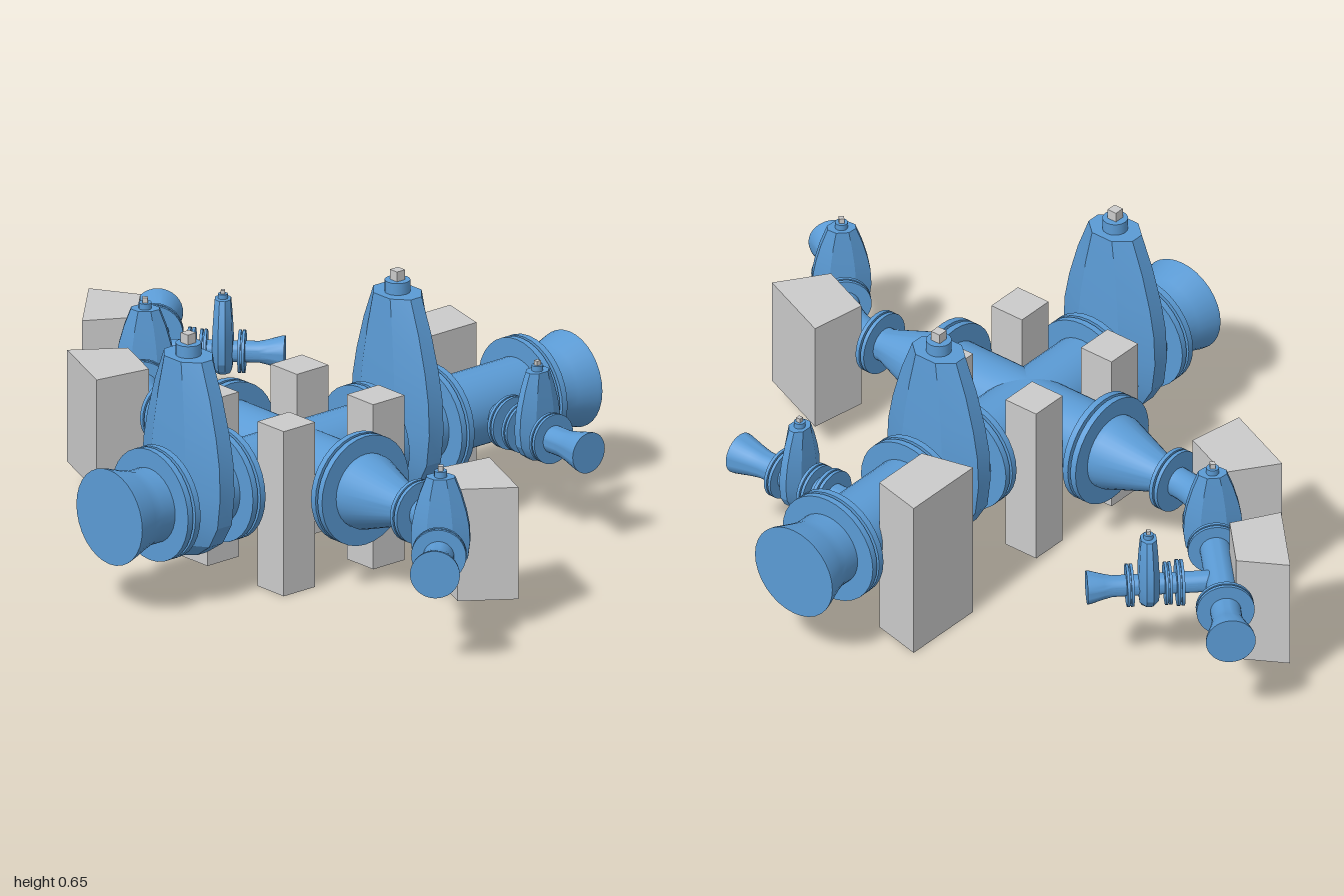
import * as THREE from 'three';
import { toCreasedNormals } from 'three/addons/utils/BufferGeometryUtils.js';

const blue = new THREE.MeshStandardMaterial({ color: 0x5b9bd5 });
const grey = new THREE.MeshStandardMaterial({ color: 0xcccccc });
const AXIS = 0.245; // height of the pipe axis

function add(parent, name, geometry, material = blue) {
  const mesh = new THREE.Mesh(geometry, material);
  mesh.name = name;
  parent.add(mesh);
  return mesh;
}

// Local frame whose +z is the direction of flow
function frame(parent, name, x, z, heading) {
  const g = new THREE.Group();
  g.name = name;
  g.position.set(x, 0, z);
  g.rotation.y = heading;
  parent.add(g);
  return g;
}

// Solid of revolution along local z from [radius, z] pairs, capped at both ends
function turned(parent, name, profile) {
  const pts = [[0, profile[0][1]], ...profile, [0, profile[profile.length - 1][1]]];
  const geo = new THREE.LatheGeometry(pts.map(p => new THREE.Vector2(p[0], p[1])), 32);
  geo.rotateX(Math.PI / 2);
  return add(parent, name, toCreasedNormals(geo, 0.5));
}

const pipe = (parent, r, z0, z1) => turned(parent, 'pipe', [[r, z0], [r, z1]]);

// Pair of bolted discs
function flange(parent, z, r) {
  const h = 0.02 + r * 0.0, w = Math.min(h, r * 0.16), gap = w * 0.2;
  turned(parent, 'flangePair', [[r, z - w], [r, z - gap], [r * 0.85, z - gap],
    [r * 0.85, z + gap], [r, z + gap], [r, z + w]]);
}

// Bell-shaped closed pipe end
function bellEnd(parent, z0, z1, r, rEnd) {
  const l = z1 - z0;
  turned(parent, 'bellEnd', [[r, z0], [r, z0 + l * 0.4], [r + (rEnd - r) * 0.3, z0 + l * 0.6],
    [rEnd * 0.98, z0 + l * 0.93], [rEnd, z1]]);
}

// Gate valve: lofted eight-sided body and bonnet, gland and square spindle
function valve(parent, z, k) {
  const g = frame(parent, 'valve', 0, z, 0);
  g.scale.setScalar(k);
  // [height, half width across the pipe, half thickness along the pipe]
  const levels = [[-0.14, 0, 0], [-0.14, 0.05, 0.045], [-0.105, 0.1, 0.06], [-0.05, 0.132, 0.065],
    [0.03, 0.142, 0.065], [0.11, 0.138, 0.064], [0.18, 0.125, 0.061], [0.27, 0.1, 0.056],
    [0.355, 0.068, 0.05], [0.355, 0, 0]];
  const outline = [[1, 0.35], [1, -0.35], [0.45, -1], [-0.45, -1], [-1, -0.35], [-1, 0.35], [-0.45, 1], [0.45, 1]];
  const pos = [], index = [];
  levels.forEach(([y, t, s], i) => outline.forEach(([ox, oz], j) => {
    pos.push(ox * t, y, oz * s);
    if (i === 0) return;
    const a = (i - 1) * 8 + j, b = (i - 1) * 8 + (j + 1) % 8;
    index.push(a, b, a + 8, b, b + 8, a + 8);
  }));
  const geo = new THREE.BufferGeometry();
  geo.setAttribute('position', new THREE.Float32BufferAttribute(pos, 3));
  geo.setIndex(index);
  add(g, 'valveBody', toCreasedNormals(geo, 0.4));
  add(g, 'gland', new THREE.CylinderGeometry(0.031, 0.031, 0.03, 16)).position.y = 0.37;
  add(g, 'spindle', new THREE.BoxGeometry(0.026, 0.025, 0.026), grey).position.y = 0.3975;
}

// Valve with its flanges and the pipe stub through it
function valveSet(parent, z, half, k, r, rFlange) {
  pipe(parent, r, z - half, z + half);
  flange(parent, z - half, rFlange);
  flange(parent, z + half, rFlange);
  valve(parent, z, k);
}

// Thrust block: wedge in plan, widening away from the pipe
function thrustBlock(parent, x, z, heading, near, far, wNear, wFar, y0, y1) {
  const g = frame(parent, 'thrustBlock', x, z, heading);
  const shape = new THREE.Shape([[-wNear, near], [wNear, near], [wFar, far], [-wFar, far]]
    .map(p => new THREE.Vector2(p[0] / 2, -p[1])));
  const geo = new THREE.ExtrudeGeometry(shape, { depth: y1 - y0, bevelEnabled: false });
  geo.rotateX(-Math.PI / 2);
  add(g, 'block', geo, grey).position.y = y0 - AXIS;
}

// Reducing branch with a 45 degree elbow; returns the frame after the elbow
function reducedBranch(parent, name, heading) {
  const g = frame(parent, name, 0, 0, heading);
  pipe(g, 0.093, 0, 0.25);
  flange(g, 0.244, 0.138);
  turned(g, 'reducer', [[0.093, 0.25], [0.093, 0.28], [0.042, 0.43], [0.042, 0.455]]);
  flange(g, 0.455, 0.078);
  const R = 0.2414, arc = [];
  for (let i = 0; i <= 8; i++) {
    const a = (i / 8) * Math.PI / 4;
    arc.push(new THREE.Vector3(R * (Math.cos(a) - 1), 0, 0.455 + R * Math.sin(a)));
  }
  add(g, 'elbow', new THREE.TubeGeometry(new THREE.CatmullRomCurve3(arc), 20, 0.037, 24));
  thrustBlock(g, -R, 0.455, Math.PI * 3 / 8, R + 0.025, R + 0.168, 0.155, 0.22, 0.07, 0.355);
  const out = frame(g, 'outlet', arc[8].x, arc[8].z, -Math.PI / 4);
  valveSet(out, 0.064, 0.06, 0.5, 0.037, 0.066);
  return out;
}

export function createModel() {
  const model = new THREE.Group();
  model.name = 'pipeNetwork';
  const net = frame(model, 'network', -0.145, 0.11, Math.PI / 8);
  net.position.y = AXIS;

  // Main line, left and right of the cross
  for (const side of [-1, 1]) {
    const run = frame(net, side < 0 ? 'rightMain' : 'leftMain', 0, 0, side * Math.PI / 2);
    pipe(run, 0.093, 0, 0.23);
    valveSet(run, 0.332, 0.103, 1, 0.093, 0.14);
    const start = side < 0 ? 0.435 : 0.73;
    if (side > 0) {
      pipe(run, 0.093, 0.435, 0.73);
      flange(run, 0.73, 0.14);
    }
    bellEnd(run, start, start + 0.148, 0.093, 0.12);
  }

  // Square support blocks in the four corners of the cross
  for (const sx of [-1, 1]) for (const sz of [-1, 1]) {
    const block = add(net, 'crossBlock', new THREE.BoxGeometry(0.1, 0.42, 0.095), grey);
    block.position.set(sx * 0.142, 0.21 - AXIS, sz * 0.139);
  }

  // Side outlet on the main line with its thrust block
  const side = frame(net, 'mainSideOutlet', 0.573, 0, 0);
  pipe(side, 0.034, 0, 0.18);
  flange(side, 0.137, 0.066);
  valveSet(side, 0.233, 0.05, 0.45, 0.034, 0.062);
  bellEnd(side, 0.283, 0.42, 0.034, 0.051);
  thrustBlock(net, 0.573, 0, Math.PI, 0.08, 0.213, 0.16, 0.224, 0, 0.42);

  // Front branch
  const front = reducedBranch(net, 'frontBranch', 0);
  bellEnd(front, 0.124, 0.265, 0.037, 0.06);

  // Back branch with a second, smaller side outlet
  const back = reducedBranch(net, 'backBranch', Math.PI);
  pipe(back, 0.037, 0.124, 0.38);
  flange(back, 0.38, 0.07);
  bellEnd(back, 0.38, 0.52, 0.037, 0.06);
  const small = frame(back, 'backSideOutlet', 0, 0.261, -Math.PI / 2);
  pipe(small, 0.026, 0, 0.13);
  flange(small, 0.098, 0.056);
  valveSet(small, 0.173, 0.046, 0.38, 0.026, 0.052);
  bellEnd(small, 0.219, 0.322, 0.026, 0.041);
  thrustBlock(back, 0, 0.261, Math.PI / 2, 0.03, 0.157, 0.16, 0.225, 0.07, 0.355);

  return model;
}
